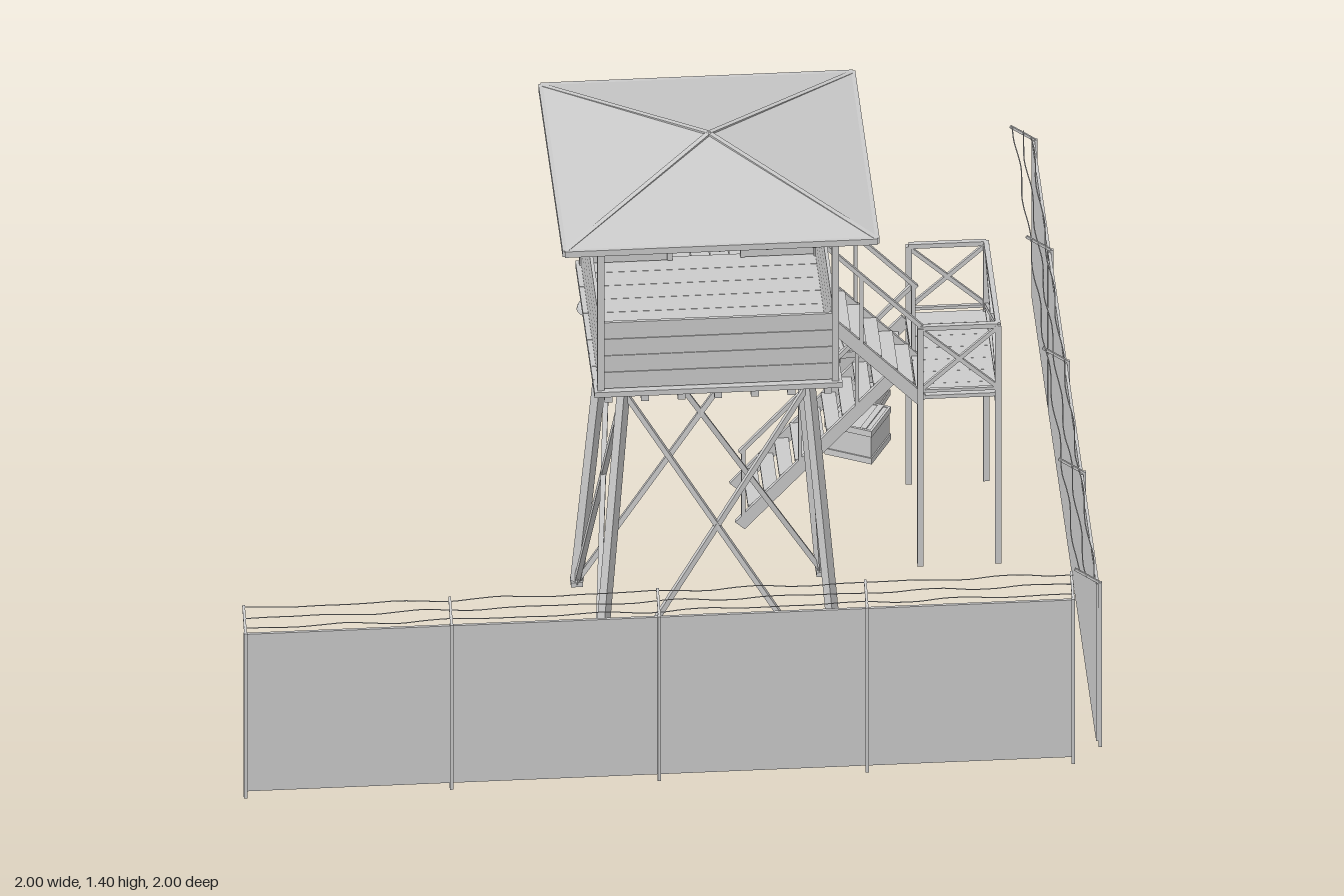
import * as THREE from 'three';

const mat = new THREE.MeshStandardMaterial({ color: 0xcccccc, flatShading: true, side: THREE.DoubleSide });
const V = (x, y, z) => new THREE.Vector3(x, y, z);

// Tower centre and half sizes
const CX = 0.125, CZ = 0.417, HALF = 0.272;

function group(parent, name) {
  const g = new THREE.Group();
  g.name = name;
  parent.add(g);
  return g;
}

function box(parent, name, w, h, d, x, y, z) {
  const m = new THREE.Mesh(new THREE.BoxGeometry(w, h, d), mat);
  m.name = name;
  m.position.set(x, y, z);
  parent.add(m);
  return m;
}

// Straight timber between two points: w across, h high
function bar(parent, name, a, b, w = 0.012, h = w) {
  const m = box(parent, name, w, h, a.distanceTo(b), 0, 0, 0);
  m.position.copy(a).add(b).multiplyScalar(0.5);
  m.lookAt(b);
  return m;
}

// Corner points of a square ring around the tower axis
const ring = (r, y) => [[-1, -1], [1, -1], [1, 1], [-1, 1]].map(([i, k]) => V(CX + i * r, y, CZ + k * r));

function buildLegs(root) {
  const g = group(root, 'towerLegs');
  const top = ring(0.215, 0.84), foot = ring(0.285, 0.008);
  for (let i = 0; i < 4; i++) {
    const j = (i + 1) % 4;
    bar(g, 'leg', foot[i], top[i], 0.022);
    bar(g, 'crossBrace', foot[i], top[j], 0.012);
    bar(g, 'crossBrace', foot[j], top[i], 0.012);
    box(g, 'foot', 0.028, 0.012, 0.028, foot[i].x, 0.006, foot[i].z);
  }
}

function buildCabin(root) {
  const g = group(root, 'cabin');
  // Joists and floor boards
  for (const s of [-0.215, 0.215]) box(g, 'mainBeam', 0.55, 0.024, 0.024, CX, 0.846, CZ + s);
  for (let i = 0; i < 7; i++) box(g, 'joist', 0.018, 0.02, 0.56, CX - 0.255 + i * 0.085, 0.862, CZ);
  for (let i = 0; i < 10; i++) box(g, 'floorBoard', 0.576, 0.014, 0.0565, CX, 0.878, CZ - 0.259 + i * 0.0576);
  // Corner posts and top plates
  const low = ring(HALF, 0.885), high = ring(HALF, 1.31), plate = ring(HALF, 1.293);
  for (let i = 0; i < 4; i++) {
    bar(g, 'cornerPost', low[i], high[i], 0.016);
    bar(g, 'topPlate', plate[i], plate[(i + 1) % 4], 0.016, 0.024);
  }
  // Plank parapet, with a doorway at the back
  for (let r = 0; r < 4; r++) {
    const y = 0.91 + r * 0.0453;
    const h = 0.044;
    box(g, 'frontPlank', 0.545, h, 0.008, CX, y, CZ + HALF);
    for (const s of [-1, 1]) box(g, 'sidePlank', 0.008, h, 0.545, CX + s * HALF, y, CZ);
    box(g, 'backPlank', 0.202, h, 0.008, -0.046, y, CZ - HALF);
    box(g, 'backPlank', 0.172, h, 0.008, 0.311, y, CZ - HALF);
  }
  for (const x of [0.055, 0.225]) box(g, 'doorPost', 0.012, 0.4, 0.012, x, 1.088, CZ - HALF);
}

function buildRoof(root) {
  const g = group(root, 'roof');
  const R = 0.363, eave = ring(R, 1.32), apex = V(CX, 1.4, CZ);
  const skin = new THREE.Mesh(new THREE.ConeGeometry(R * Math.SQRT2, 0.076, 4, 1, true), mat);
  skin.name = 'roofSkin';
  skin.geometry.rotateY(Math.PI / 4);
  skin.position.set(CX, 1.362, CZ);
  g.add(skin);
  for (let i = 0; i < 4; i++) {
    const a = eave[i], b = eave[(i + 1) % 4];
    bar(g, 'hipCap', a, apex, 0.012, 0.008);
    bar(g, 'fascia', a.clone().setY(1.317), b.clone().setY(1.317), 0.01, 0.016);
    // Rafters and a purlin under each slope
    for (const t of [0.2, 0.35, 0.5, 0.65, 0.8]) {
      const p = a.clone().lerp(b, t);
      const reach = 1 - Math.abs(t - 0.5) * 2;
      const inward = V(CX, 1.4, CZ).sub(a.clone().lerp(b, 0.5)).multiplyScalar(reach * 0.97);
      const q = p.clone().add(inward);
      p.y -= 0.01;
      q.y -= 0.01;
      bar(g, 'rafter', p, q, 0.01, 0.012);
    }
    const drop = V(0, -0.016, 0);
    bar(g, 'purlin', a.clone().lerp(apex, 0.45).add(drop), b.clone().lerp(apex, 0.45).add(drop), 0.01);
  }
}

// Flight of steps along x, from its foot (x0,y0) to its head (x1,y1), between z0 and z1
function flight(root, name, x0, y0, x1, y1, z0, z1, railSides) {
  const g = group(root, name), n = 11;
  for (const z of [z0 + 0.006, z1 - 0.006])
    bar(g, 'stringer', V(x0, y0, z), V(x1, y1, z), 0.01, 0.03);
  for (let i = 1; i < n; i++) {
    const t = i / n;
    box(g, 'tread', 0.034, 0.008, z1 - z0 - 0.02, x0 + (x1 - x0) * t, y0 + (y1 - y0) * t + 0.006, (z0 + z1) / 2);
  }
  for (const z of railSides) {
    bar(g, 'handrail', V(x0, y0 + 0.2, z), V(x1, y1 + 0.2, z), 0.01);
    for (const t of [0.02, 0.35, 0.68]) {
      const x = x0 + (x1 - x0) * t, y = y0 + (y1 - y0) * t;
      bar(g, 'railPost', V(x, y, z), V(x, y + 0.2, z), 0.009);
    }
  }
}

function buildUpperLanding(root) {
  const g = group(root, 'upperLanding');
  for (let i = 0; i < 5; i++) box(g, 'deckBoard', 0.043, 0.012, 0.205, 0.039 + i * 0.0445, 0.872, 0.034);
  for (const x of [0.03, 0.125, 0.22]) box(g, 'deckJoist', 0.014, 0.02, 0.3, x, 0.856, 0.083);
  for (let r = 0; r < 4; r++) {
    const y = 0.905 + r * 0.051;
    box(g, 'backPanelPlank', 0.22, 0.05, 0.007, 0.129, y, -0.062);
    box(g, 'endPanelPlank', 0.007, 0.05, 0.195, 0.021, y, 0.036);
  }
  for (const [x, z] of [[0.02, -0.064], [0.236, -0.064], [0.02, 0.13], [0.236, 0.115]])
    box(g, 'railPost', 0.012, 0.235, 0.012, x, 0.978, z);
  box(g, 'topRail', 0.226, 0.01, 0.014, 0.129, 1.091, -0.064);
  box(g, 'topRail', 0.014, 0.01, 0.2, 0.02, 1.091, 0.034);
}

function buildLowerLanding(root) {
  const g = group(root, 'lowerLanding');
  const x0 = 0.64, x1 = 0.82, z0 = -0.245, z1 = 0.112;
  for (let i = 0; i < 7; i++) box(g, 'deckBoard', 0.196, 0.01, 0.051, 0.73, 0.46, z0 + 0.024 + i * 0.0515);
  for (const x of [x0, x1]) {
    box(g, 'deckBeam', 0.014, 0.018, z1 - z0, x, 0.446, (z0 + z1) / 2);
    for (const z of [z0, z1]) box(g, 'landingPost', 0.014, 0.65, 0.014, x, 0.325, z);
  }
  // Crossed railing on the three open sides
  const sides = [[[x0, z0], [x1, z0]], [[x1, z0], [x1, z1]], [[x1, z1], [x0, z1]]];
  for (const [[ax, az], [bx, bz]] of sides) {
    bar(g, 'topRail', V(ax, 0.65, az), V(bx, 0.65, bz), 0.012, 0.012);
    bar(g, 'railCross', V(ax, 0.48, az), V(bx, 0.645, bz), 0.008, 0.01);
    bar(g, 'railCross', V(ax, 0.645, az), V(bx, 0.48, bz), 0.008, 0.01);
    bar(g, 'bottomRail', V(ax, 0.478, az), V(bx, 0.478, bz), 0.008);
  }
}

function buildLamp(root) {
  const g = group(root, 'lamp');
  bar(g, 'lampArm', V(-0.107, 0.675, 0.19), V(-0.107, 0.675, -0.035), 0.006);
  bar(g, 'lampBrace', V(-0.107, 0.635, 0.188), V(-0.107, 0.675, 0.12), 0.005);
  const profile = [[0.04, 0], [0.037, 0.01], [0.027, 0.02], [0.012, 0.028], [0.009, 0.038], [0, 0.039]];
  const shade = new THREE.Mesh(new THREE.LatheGeometry(profile.map(p => new THREE.Vector2(...p)), 20), mat);
  shade.name = 'lampShade';
  shade.position.set(-0.107, 0.643, -0.04);
  g.add(shade);
  const bulb = new THREE.Mesh(new THREE.SphereGeometry(0.014, 12, 8), mat);
  bulb.name = 'bulb';
  bulb.position.set(-0.107, 0.65, -0.04);
  g.add(bulb);
}

// Fence run; P maps (along, height, outward) to a point
function buildFence(root, name, P) {
  const g = group(root, name), step = 1.93 / 4;
  for (let i = 0; i < 4; i++) {
    const u = -1 + i * step;
    bar(g, 'panel', P(u + 0.003, 0.23, 0.988), P(u + step - 0.003, 0.23, 0.988), 0.007, 0.43);
  }
  for (let i = 0; i <= 4; i++) {
    const u = Math.min(Math.max(-1 + i * step, -0.996), 0.926);
    bar(g, 'fencePost', P(u, 0, 0.994), P(u, 0.45, 0.994), 0.008);
    bar(g, 'wireArm', P(u, 0.447, 0.994), P(u, 0.488, 0.935), 0.006);
  }
  // Slack wires
  [[0.456, 0.982], [0.47, 0.962], [0.485, 0.942]].forEach(([y, d], k) => {
    const pts = [];
    for (let i = 0; i <= 32; i++)
      pts.push(P(-1 + (i / 32) * 1.93, y + 0.002 * Math.sin(i * 1.9 + k), d + 0.004 * Math.sin(i * 1.3 + 2 * k)));
    const wire = new THREE.Mesh(new THREE.TubeGeometry(new THREE.CatmullRomCurve3(pts), 96, 0.0014, 4), mat);
    wire.name = 'wire';
    g.add(wire);
  });
}

// Crate with raised battens
function crate(root, w, h, d, x, y, z, turn) {
  const g = group(root, 'crate');
  g.position.set(x, y, z);
  g.rotation.y = turn;
  box(g, 'crateBody', w - 0.006, h - 0.004, d - 0.006, 0, h / 2, 0);
  for (const s of [-1, 1]) {
    for (const y2 of [0.008, h - 0.008]) {
      box(g, 'batten', w, 0.016, 0.006, 0, y2, s * (d / 2 - 0.003));
      box(g, 'batten', 0.006, 0.016, d, s * (w / 2 - 0.003), y2, 0);
    }
    box(g, 'lidBatten', 0.014, 0.004, d - 0.01, s * w * 0.3, h - 0.001, 0);
  }
}

export function createModel() {
  const root = new THREE.Group();
  root.name = 'watchtower';
  buildLegs(root);
  buildCabin(root);
  buildRoof(root);
  buildUpperLanding(root);
  buildLowerLanding(root);
  flight(root, 'upperStairs', 0.645, 0.45, 0.24, 0.87, -0.07, 0.115, [-0.066, 0.11]);
  flight(root, 'lowerStairs', 0.235, 0.012, 0.635, 0.45, -0.25, -0.07, [-0.074]);
  buildLamp(root);
  buildFence(root, 'frontFence', (u, y, d) => V(u, y, d));
  buildFence(root, 'sideFence', (u, y, d) => V(d, y, u));
  // Crates: a heap of three, a stack of two and a single one
  crate(root, 0.175, 0.075, 0.09, 0.317, 0, -0.83, -0.13);
  crate(root, 0.175, 0.075, 0.09, 0.305, 0, -0.725, -0.08);
  crate(root, 0.17, 0.075, 0.095, 0.315, 0.076, -0.78, 1.1);
  crate(root, 0.118, 0.09, 0.118, 0.55, 0, -0.595, -0.4);
  crate(root, 0.118, 0.09, 0.118, 0.552, 0.091, -0.598, 0.13);
  crate(root, 0.118, 0.09, 0.118, 0.535, 0, -0.41, -0.47);
  return root;
}
